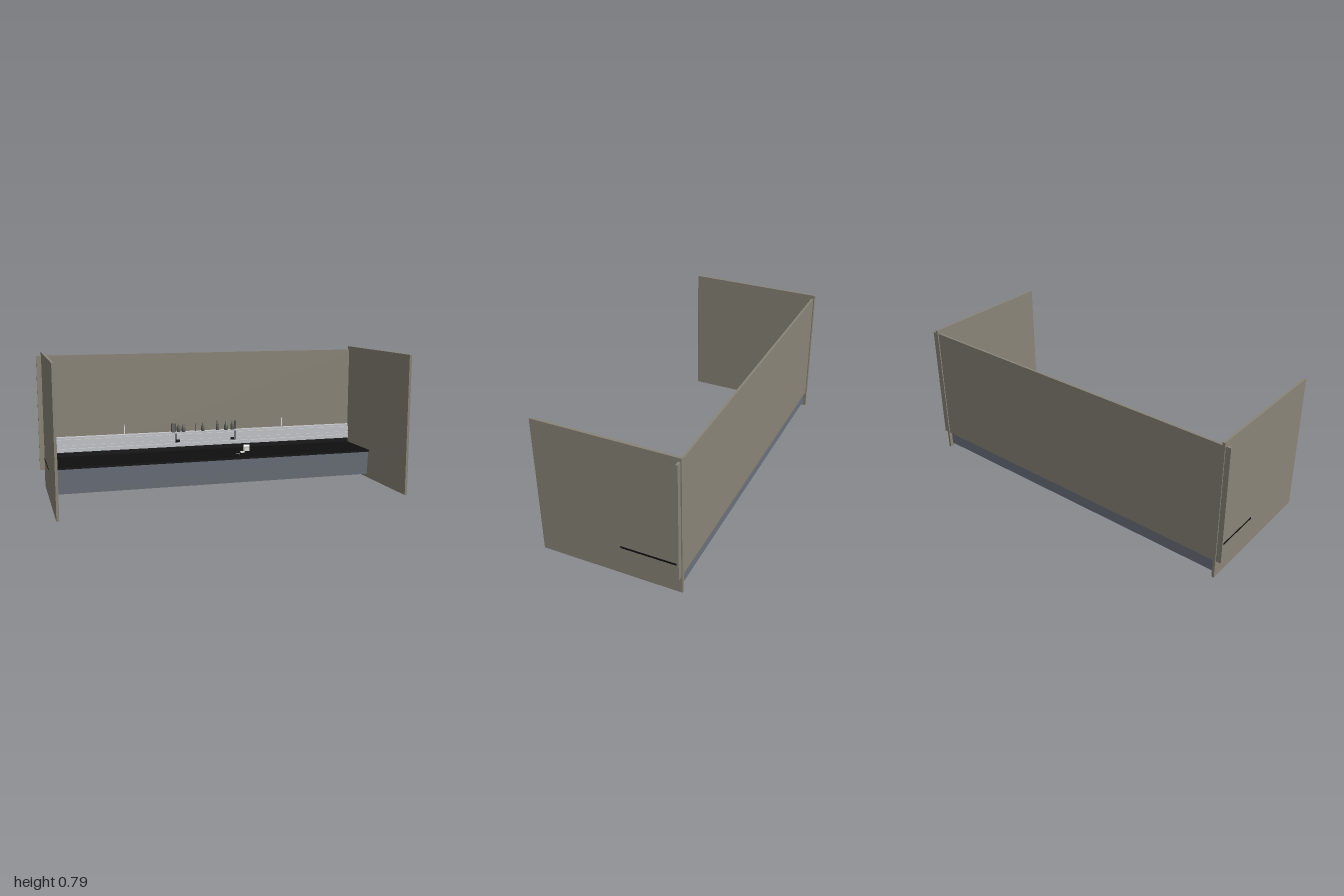
import * as THREE from 'three';

const mat = (name, color) => Object.assign(new THREE.MeshStandardMaterial({ color }), { name });

export function createModel() {
  const group = new THREE.Group();
  const taupe = mat('taupe panel', 0x8a8578);
  const slate = mat('slate cabinet', 0x6c727c);
  const black = mat('black worktop', 0x0f0f0f);
  const silver = mat('silver rail', 0xc4c6ca);
  const steel = mat('dark steel', 0x62645f);
  const white = mat('white fittings', 0xe2e2de);

  const add = (name, geo, m, x = 0, y = 0, z = 0) => {
    const mesh = new THREE.Mesh(geo, m);
    mesh.name = name;
    mesh.position.set(x, y, z);
    group.add(mesh);
    return mesh;
  };
  // Box given by its limits on each axis
  const box = (name, m, x0, x1, y0, y1, z0, z1) =>
    add(name, new THREE.BoxGeometry(x1 - x0, y1 - y0, z1 - z0), m,
      (x0 + x1) / 2, (y0 + y1) / 2, (z0 + z1) / 2);

  // Enclosing walls
  box('backPanel', taupe, -1, 1, 0.1, 0.77, -0.389, -0.377);
  box('rightPanel', taupe, -0.972, -0.958, 0, 0.79, -0.395, 0.395);
  box('leftPanel', taupe, 0.958, 0.972, 0, 0.79, -0.395, 0.395);

  // Worktop, its ends just showing through the side panels
  box('worktop', black, -0.9725, 0.9725, 0.163, 0.174, -0.377, -0.06);
  box('upstand', black, -0.9725, 0.9725, 0.174, 0.2, -0.377, -0.366);

  // Cabinet body below, with a slightly receding front
  const profile = new THREE.Shape([[0.376, 0.02], [0.376, 0.163], [0.07, 0.163], [0.08, 0.02]]
    .map(([z, y]) => new THREE.Vector2(z, y)));
  const body = new THREE.ExtrudeGeometry(profile, { depth: 1.916, bevelEnabled: false });
  body.translate(0, 0, -0.958).rotateY(Math.PI / 2);
  add('cabinet', body, slate);

  // Service rail along the back wall
  box('railBackplate', silver, -0.9725, 0.9725, 0.2, 0.288, -0.377, -0.372);
  box('railChannel', silver, -0.9725, 0.9725, 0.225, 0.24, -0.372, -0.366);
  box('railLower', silver, -0.957, 0.957, 0.2, 0.22, -0.372, -0.36);
  box('railUpper', silver, -0.957, 0.957, 0.25, 0.275, -0.372, -0.362);
  const top = new THREE.Shape([[-0.957, 0.376], [0.957, 0.376], [0.935, 0.342], [-0.935, 0.342]]
    .map(([x, z]) => new THREE.Vector2(x, z)));
  const shelf = new THREE.ExtrudeGeometry(top, { depth: 0.007, bevelEnabled: false });
  shelf.rotateX(-Math.PI / 2);
  add('railShelf', shelf, silver, 0, 0.285, 0);

  // Bottles on the shelf: x, radius, height
  for (const [x, r, h] of [[-0.17, 0.012, 0.055], [-0.14, 0.011, 0.048], [-0.065, 0.004, 0.05],
    [-0.018, 0.011, 0.052], [0.075, 0.01, 0.06], [0.13, 0.013, 0.05], [0.17, 0.011, 0.056]]) {
    const pts = [[0, 0], [r, 0], [r, h * 0.55], [r * 0.45, h * 0.75], [r * 0.45, h], [0, h]]
      .map(([a, b]) => new THREE.Vector2(a, b));
    add('bottle', new THREE.LatheGeometry(pts, 14), steel, x, 0.291, -0.358);
  }
  box('storageBox', steel, -0.214, -0.197, 0.291, 0.345, -0.373, -0.345);

  // Posts and hanging cables with sockets
  for (const x of [-0.5, 0.5])
    box('post', white, x - 0.0025, x + 0.0025, 0.285, 0.348, -0.377, -0.372);
  for (const s of [-1, 1]) {
    box('cable', black, s * 0.188 - 0.002, s * 0.188 + 0.002, 0.225, 0.345, -0.36, -0.356);
    box('socket', black, s * 0.172 - 0.01, s * 0.172 + 0.01, 0.228, 0.242, -0.366, -0.355);
  }

  // Small fittings lying on the worktop
  box('fittingBase', white, 0.21, 0.243, 0.174, 0.196, -0.262, -0.236);
  const knob = add('fittingKnob', new THREE.CylinderGeometry(0.012, 0.012, 0.035, 12), white, 0.228, 0.2, -0.25);
  knob.rotation.z = Math.PI / 2;
  box('smallFitting', white, 0.175, 0.199, 0.174, 0.181, -0.208, -0.19);
  const tool = box('smallTool', white, 0.136, 0.158, 0.174, 0.178, -0.163, -0.157);
  tool.rotation.y = -0.5;

  return group;
}
